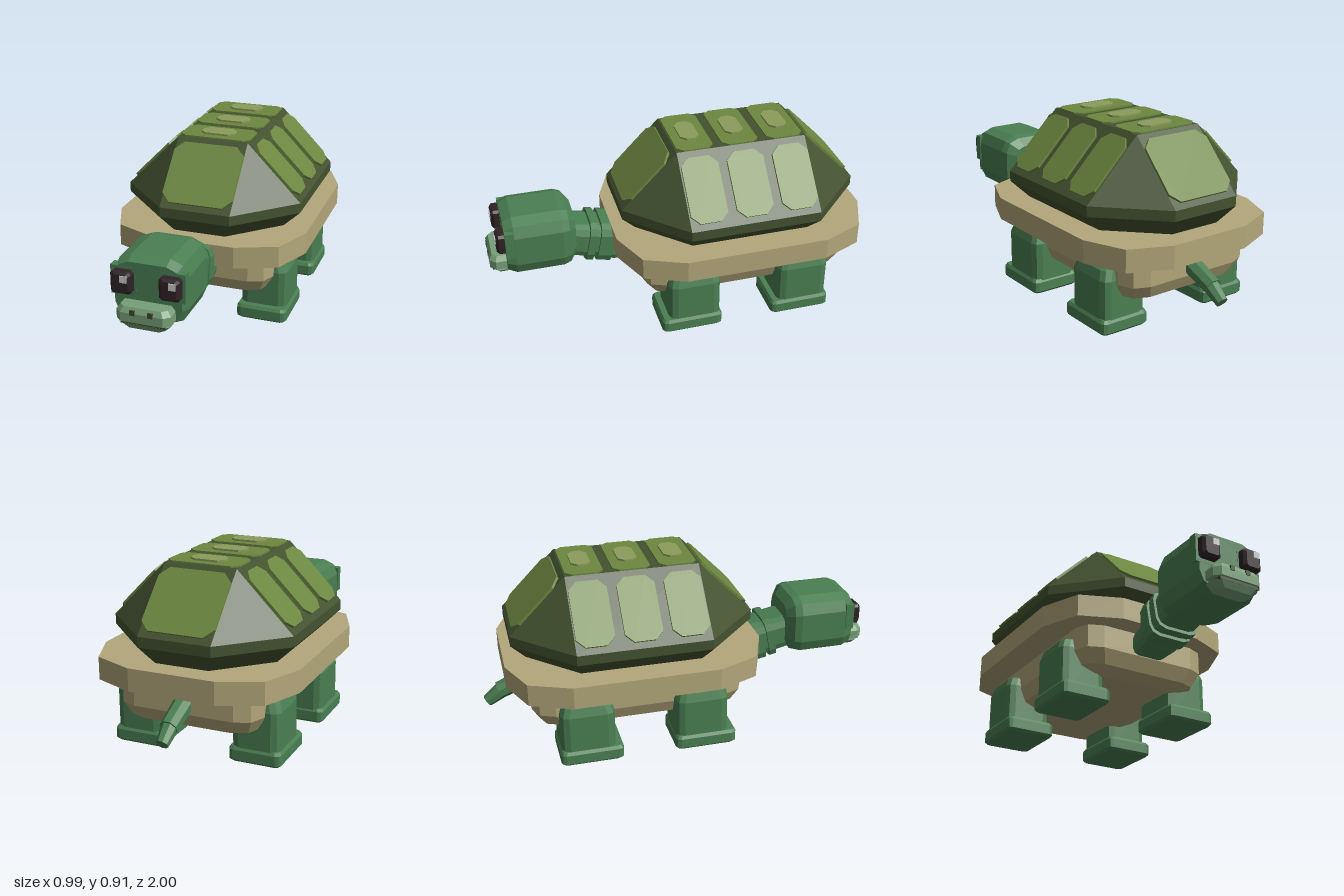
import * as THREE from 'three';

const mat = (name, color) => {
  const m = new THREE.MeshStandardMaterial({ color });
  m.name = name;
  return m;
};

// Closed loop of a rectangle with cut (n = 1) or rounded (n > 1) corners, counterclockwise from above
function ring({ y, hx, hz, c = 0, x = 0, z = 0 }, n) {
  const pts = [];
  for (let q = 0; q < 4; q++) {
    for (let k = 0; k <= n; k++) {
      const a = (q + k / n) * Math.PI / 2;
      const sx = q === 0 || q === 3 ? 1 : -1, sz = q < 2 ? -1 : 1;
      pts.push([x + sx * (hx - c) + c * Math.cos(a), y, z + sz * (hz - c) - c * Math.sin(a)]);
    }
  }
  return pts;
}

// Flat-faced solid through a stack of rings, bottom to top
function loft(sections, n = 1) {
  const rings = sections.map((s) => ring(s, n));
  const pos = [], N = rings[0].length;
  const tri = (a, b, c) => pos.push(...a, ...b, ...c);
  for (let r = 0; r < rings.length - 1; r++) {
    for (let i = 0; i < N; i++) {
      const j = (i + 1) % N, lo = rings[r], hi = rings[r + 1];
      tri(lo[i], lo[j], hi[j]);
      tri(lo[i], hi[j], hi[i]);
    }
  }
  const bottom = rings[0], top = rings[rings.length - 1];
  for (let i = 1; i < N - 1; i++) {
    tri(bottom[0], bottom[i + 1], bottom[i]);
    tri(top[0], top[i], top[i + 1]);
  }
  const g = new THREE.BufferGeometry();
  g.setAttribute('position', new THREE.Float32BufferAttribute(pos, 3));
  g.computeVertexNormals();
  return g;
}

// Same solid, stacked along +z; section z values become -height
const loftZ = (sections, n) => loft(sections, n).rotateX(Math.PI / 2);

// Plate with cut corners, lying in its own xy plane
function plate(w, h, cut, depth) {
  const a = w / 2, b = h / 2;
  const s = new THREE.Shape([
    [a, -b + cut], [a, b - cut], [a - cut, b], [-a + cut, b],
    [-a, b - cut], [-a, -b + cut], [-a + cut, -b], [a - cut, -b],
  ].map(([x, y]) => new THREE.Vector2(x, y)));
  return new THREE.ExtrudeGeometry(s, { depth, bevelEnabled: false });
}

export function createModel() {
  const model = new THREE.Group();
  model.name = 'turtle';
  const skin = mat('skin green', 0x4a7f52);
  const shellDark = mat('dark shell olive', 0x435230);
  const scute = mat('scute green', 0x6c8740);
  const boss = mat('pale scute green', 0x8c9c5c);
  const bone = mat('underside tan', 0xb3a77a);
  const muzzle = mat('muzzle green', 0x769f78);
  const dark = mat('mouth olive', 0x3d4a2c);
  const eyeDark = mat('eye dark', 0x2e2326);
  const glint = mat('eye glint', 0xcccccc);

  const add = (name, geo, material, x = 0, y = 0, z = 0) => {
    const m = new THREE.Mesh(geo, material);
    m.name = name;
    m.position.set(x, y, z);
    model.add(m);
    return m;
  };
  const midZ = -0.258;

  // Shell dome, rim and belly
  add('shell', loft([
    { y: 0.465, hx: 0.36, hz: 0.525, c: 0.23 },
    { y: 0.56, hx: 0.455, hz: 0.602, c: 0.276 },
    { y: 0.61, hx: 0.455, hz: 0.602, c: 0.276 },
    { y: 0.89, hx: 0.18, hz: 0.326 },
  ]), shellDark, 0, 0, midZ);
  add('rim', loft([
    { y: 0.36, hx: 0.497, hz: 0.64, c: 0.285 },
    { y: 0.47, hx: 0.497, hz: 0.64, c: 0.285 },
  ], 2), bone, 0, 0, midZ);
  add('belly', loft([
    { y: 0.145, hx: 0.25, hz: 0.43, c: 0.08 },
    { y: 0.177, hx: 0.325, hz: 0.495, c: 0.1 },
    { y: 0.245, hx: 0.355, hz: 0.53, c: 0.105 },
    { y: 0.37, hx: 0.355, hz: 0.53, c: 0.105 },
  ], 2), bone, 0, 0, midZ);

  // Scutes: a row along the top, one on each slope
  const slope = Math.atan2(0.28, 0.275);
  for (const z of [-0.487, midZ, -0.03]) {
    add('topScute', plate(0.36, 0.183, 0.03, 0.012).rotateX(-Math.PI / 2), scute, 0, 0.885, z);
    add('topBoss', plate(0.175, 0.094, 0.028, 0.014).rotateX(-Math.PI / 2), boss, 0, 0.892, z);
    for (const s of [-1, 1]) {
      const side = plate(0.183, 0.325, 0.04, 0.014).rotateX(-Math.PI / 2 + slope).rotateY(s * Math.PI / 2);
      add('sideScute', side, scute, s * 0.317, 0.748, z);
    }
  }
  for (const s of [-1, 1]) {
    const end = plate(0.36, 0.33, 0.045, 0.014).rotateX(-Math.PI / 2 + slope);
    if (s < 0) end.rotateY(Math.PI);
    add('endScute', end, scute, 0, 0.748, midZ + s * 0.463);
  }

  // Legs and feet
  for (const s of [-1, 1]) {
    for (const z of [0.05, -0.523]) {
      const inset = z > 0 ? -0.017 : -0.014;
      add('leg', loft([
        { y: 0.05, hx: 0.12, hz: 0.133, c: 0.04 },
        { y: 0.26, hx: 0.12, hz: 0.133, c: 0.04 },
        { y: 0.305, hx: 0.105, hz: 0.12, c: 0.04 },
        { y: 0.325, hx: 0.075, hz: 0.09, c: 0.03 },
      ], 2), skin, s * 0.3, 0, z + inset);
      add('foot', loft([
        { y: 0, hx: 0.118, hz: 0.143, c: 0.02 },
        { y: 0.012, hx: 0.13, hz: 0.155, c: 0.025 },
        { y: 0.06, hx: 0.13, hz: 0.155, c: 0.025 },
        { y: 0.075, hx: 0.12, hz: 0.145, c: 0.02 },
      ], 2), skin, s * 0.3, 0, z);
    }
  }

  // Neck with two folds
  add('neck', loftZ([
    { y: 0.22, hx: 0.085, hz: 0.05, c: 0.03, z: -0.295 },
    { y: 0.38, hx: 0.1, hz: 0.072, c: 0.04, z: -0.328 },
    { y: 0.4, hx: 0.105, hz: 0.092, c: 0.045, z: -0.365 },
    { y: 0.62, hx: 0.105, hz: 0.09, c: 0.045, z: -0.415 },
  ], 2), skin);
  for (const [z, y, d] of [[0.415, 0.368, 0.035], [0.487, 0.385, 0.018]]) {
    const fold = add('neckFold', loftZ([
      { y: -d, hx: 0.118, hz: 0.106, c: 0.05 },
      { y: d, hx: 0.118, hz: 0.106, c: 0.05 },
    ], 2), skin, 0, y, z);
    fold.rotation.x = -0.2;
  }

  // Head
  add('head', loftZ([
    { y: 0.565, hx: 0.115, hz: 0.105, c: 0.05 },
    { y: 0.6, hx: 0.16, hz: 0.146, c: 0.075 },
    { y: 0.635, hx: 0.171, hz: 0.156, c: 0.08 },
    { y: 0.87, hx: 0.171, hz: 0.156, c: 0.08 },
    { y: 0.915, hx: 0.158, hz: 0.135, c: 0.07 },
  ], 2), skin, 0, 0.455, 0);

  // Eyes on raised sockets
  for (const s of [-1, 1]) {
    add('eyeSocket', new THREE.BoxGeometry(0.12, 0.138, 0.043), skin, s * 0.115, 0.497, 0.8945);
    add('eye', loftZ([
      { y: 0.905, hx: 0.049, hz: 0.053, c: 0.012 },
      { y: 0.945, hx: 0.049, hz: 0.053, c: 0.012 },
      { y: 0.958, hx: 0.036, hz: 0.042, c: 0.01 },
    ]), eyeDark, s * 0.113, 0.5, 0);
    add('eyeGlint', new THREE.BoxGeometry(0.032, 0.032, 0.008), glint, s * 0.113 + 0.017, 0.523, 0.959);
    add('nostril', new THREE.BoxGeometry(0.023, 0.024, 0.008), dark, s * 0.042, 0.389, 0.996);
  }

  // Muzzle, mouth and jaw
  add('muzzle', loft([
    { y: 0.342, hx: 0.128, hz: 0.06, c: 0.028 },
    { y: 0.385, hx: 0.128, hz: 0.06, c: 0.028 },
    { y: 0.41, hx: 0.11, hz: 0.046, c: 0.022 },
  ]), muzzle, 0, 0, 0.937);
  add('mouth', new THREE.BoxGeometry(0.205, 0.018, 0.1), dark, 0, 0.336, 0.936);
  add('jaw', loft([
    { y: 0.3, hx: 0.09, hz: 0.038, c: 0.02 },
    { y: 0.33, hx: 0.122, hz: 0.055, c: 0.028 },
  ]), muzzle, 0, 0, 0.932);

  // Tail: thick root and a smaller tip
  const tailPart = (name, y, z, length, tilt, r0, r1) => {
    const g = new THREE.CylinderGeometry(r1, r0, length, 8).toNonIndexed();
    g.rotateY(Math.PI / 8).rotateX(-Math.PI / 2 - tilt);
    g.computeVertexNormals();
    add(name, g, skin, 0, y, z);
  };
  tailPart('tailRoot', 0.267, -0.83, 0.2, 0.4, 0.05, 0.044);
  tailPart('tailTip', 0.205, -0.944, 0.1, 0.62, 0.042, 0.03);

  return model;
}
